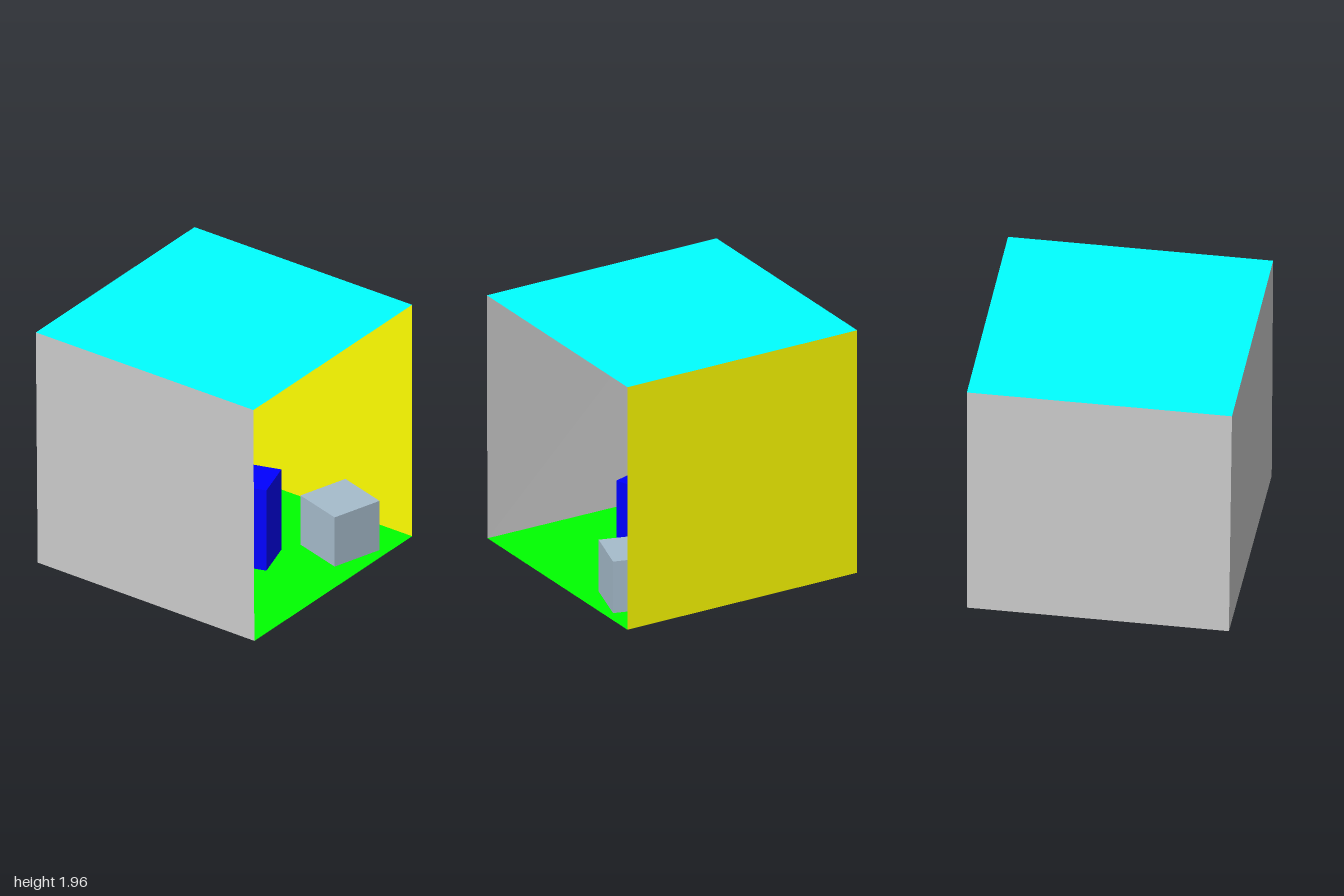
import * as THREE from 'three';

const H = 1.963, W = 0.994;

const material = (color) => new THREE.MeshStandardMaterial({ color, flatShading: true, side: THREE.DoubleSide });

// Thin four-cornered panel, corners in counter-clockwise order
function panel(name, color, corners) {
  const geometry = new THREE.BufferGeometry();
  geometry.setAttribute('position', new THREE.Float32BufferAttribute(corners.flat(), 3));
  geometry.setIndex([0, 1, 2, 0, 2, 3]);
  geometry.computeVertexNormals();
  const mesh = new THREE.Mesh(geometry, material(color));
  mesh.name = name;
  return mesh;
}

// Block standing on the floor, turned about y
function block(name, color, [w, h, d], x, z, turn) {
  const mesh = new THREE.Mesh(new THREE.BoxGeometry(w, h, d), material(color));
  mesh.name = name;
  mesh.position.set(x, h / 2 + 0.001, z);
  mesh.rotation.y = turn;
  return mesh;
}

export function createModel() {
  const room = new THREE.Group();
  room.name = 'room';

  // Corners; the left side of the floor is slightly narrower than the ceiling
  const floorFL = [-0.983, 0, 1], floorBL = [-0.971, 0, -1];
  const floorFR = [W, 0, 1], floorBR = [W, 0, -1];
  const topFL = [-W, H, 1], topBL = [-W, H, -1];
  const topFR = [W, H, 1], topBR = [W, H, -1];

  // Room shell, open at the front
  room.add(
    panel('floor', 0x00ff00, [floorFL, floorFR, floorBR, floorBL]),
    panel('ceiling', 0x00ffff, [topFL, topFR, topBR, topBL]),
    panel('backWall', 0xcccccc, [floorBL, floorBR, topBR, topBL]),
    panel('greyWall', 0xcccccc, [floorFL, floorBL, topBL, topFL]),
    panel('yellowWall', 0xffff00, [floorFR, floorBR, topBR, topFR])
  );

  // Objects inside
  room.add(
    block('tallBlock', 0x0000ff, [0.34, 0.68, 0.34], 0.043, 0.228, 0.3),
    block('shortBlock', 0xa6bccc, [0.418, 0.417, 0.42], 0.54, 0.67, -0.29)
  );
  const ball = new THREE.Mesh(new THREE.SphereGeometry(0.298, 8, 8), material(0x0000ff));
  ball.name = 'ball';
  ball.position.set(-0.525, 0.372, -0.396);
  room.add(ball);

  return room;
}
